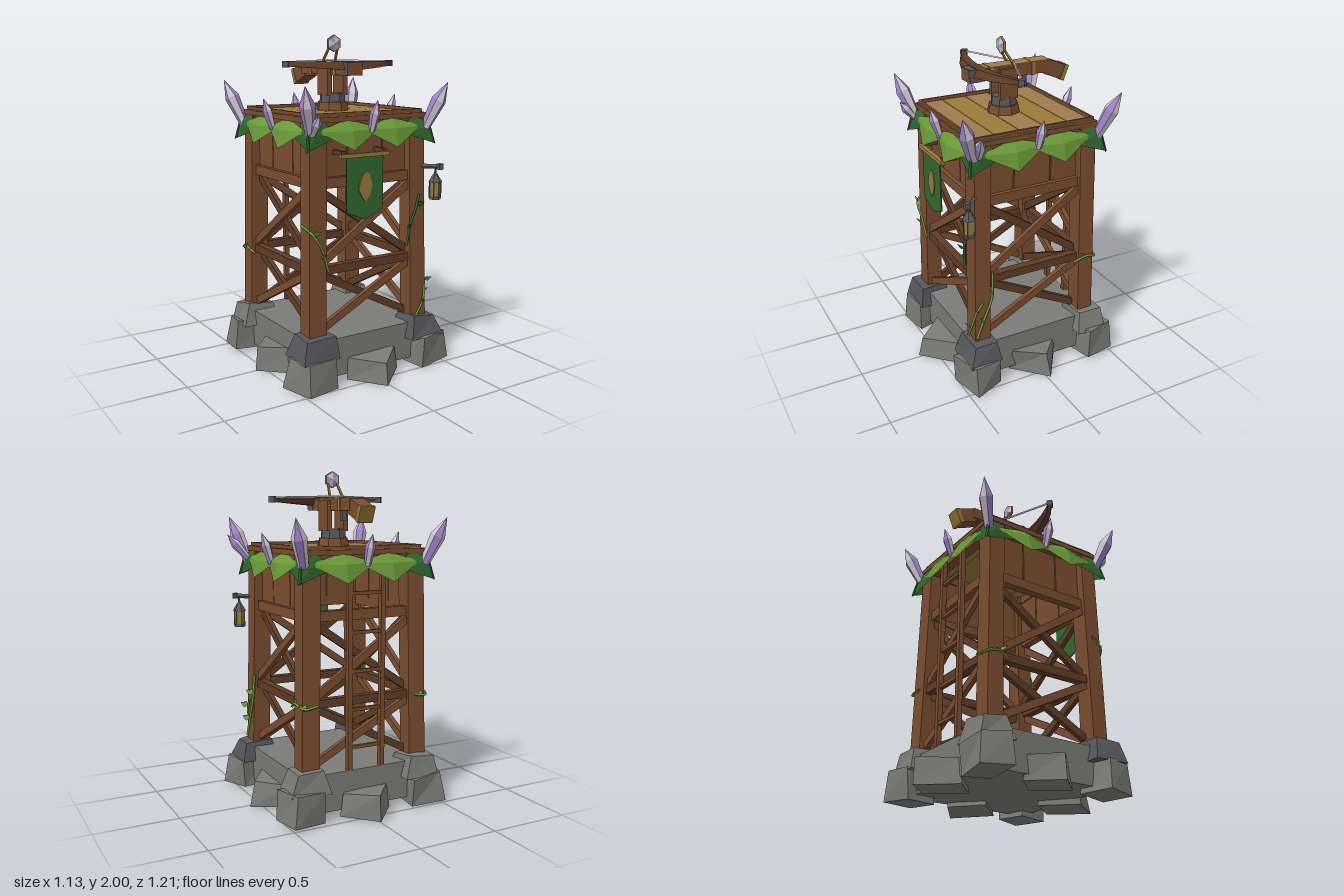
import * as THREE from 'three';

const mat = (name, color, side = THREE.FrontSide) => {
  const m = new THREE.MeshStandardMaterial({ color, side });
  m.name = name;
  return m;
};
const stone = mat('stone', 0x7a7a76), iron = mat('iron', 0x57585c);
const wood = mat('wood', 0x7a4d30), darkWood = mat('darkWood', 0x5f3c26);
const plank = mat('plank', 0xa07a4e), gold = mat('gold', 0x9a7a38);
const leaf = mat('leaf', 0x6a9a38, THREE.DoubleSide), darkLeaf = mat('darkLeaf', 0x30682f, THREE.DoubleSide);
const purple = mat('purpleCrystal', 0xa384cf), pale = mat('paleCrystal', 0xd0cad2);

const V = (x, y, z) => new THREE.Vector3(x, y, z);
const UP = V(0, 1, 0);
let seed = 7;
const rnd = () => (seed = (seed * 16807) % 2147483647) / 2147483647 - 0.5;

// Faceted normals
function flat(geo) {
  const g = geo.index ? geo.toNonIndexed() : geo;
  g.clearGroups();
  g.computeVertexNormals();
  return g;
}
function add(parent, name, geo, material, x = 0, y = 0, z = 0) {
  const m = new THREE.Mesh(geo, material);
  m.name = name;
  m.position.set(x, y, z);
  parent.add(m);
  return m;
}
const box = (p, name, m, w, h, d, x, y, z) => add(p, name, new THREE.BoxGeometry(w, h, d), m, x, y, z);
// Square bar between two points
function bar(p, name, m, a, b, w, d = w) {
  const dir = b.clone().sub(a);
  const mesh = add(p, name, new THREE.BoxGeometry(w, dir.length(), d), m);
  mesh.position.copy(a).add(b).multiplyScalar(0.5);
  mesh.quaternion.setFromUnitVectors(UP, dir.normalize());
  return mesh;
}
const prism = (p, name, m, rt, rb, h, n, x, y, z) =>
  add(p, name, flat(new THREE.CylinderGeometry(rt, rb, h, n)), m, x, y, z);
function group(parent, name) {
  const g = new THREE.Group();
  g.name = name;
  parent.add(g);
  return g;
}
// Chipped stone block, narrower on top, tilted and resting on y
function rock(p, name, m, w, h, d, x, y, z, ry, taper, tilt) {
  const geo = new THREE.BoxGeometry(w, h, d), pos = geo.attributes.position, jit = {};
  for (let i = 0; i < pos.count; i++) {
    const key = [pos.getX(i) > 0, pos.getY(i) > 0, pos.getZ(i) > 0].join();
    const j = jit[key] ??= [rnd() * 0.03, rnd() * 0.03, rnd() * 0.03];
    const top = pos.getY(i) > 0, k = top ? taper : 1;
    pos.setXYZ(i, pos.getX(i) * k + j[0], pos.getY(i) + (top ? j[1] : 0), pos.getZ(i) * k + j[2]);
  }
  geo.rotateY(ry).rotateX(rnd() * tilt).rotateZ(rnd() * tilt);
  geo.computeBoundingBox();
  add(p, name, flat(geo), m, x, y - geo.boundingBox.min.y, z);
}
// Six-sided shard with alternating pale and purple facets
function crystal(p, a, b, r) {
  const dir = b.clone().sub(a), L = dir.length();
  const pts = [[0, 0], [r * 0.65, 0], [r, L * 0.6], [0, L]].map(q => new THREE.Vector2(...q));
  const geo = flat(new THREE.LatheGeometry(pts, 6));
  for (let i = 0; i < 6; i++) geo.addGroup(i * 18, 18, i % 2);
  const m = add(p, 'crystal', geo, [purple, pale]);
  m.position.copy(a);
  m.quaternion.setFromUnitVectors(UP, dir.normalize());
}
// Folded four-point leaf: top, left, tip, right around a raised rib
function leafBlade(p, m, top, left, tip, right, mid) {
  const f = [mid, top, left, mid, left, tip, mid, tip, right, mid, right, top];
  add(p, 'leaf', flat(new THREE.BufferGeometry().setFromPoints(f)), m);
}
function vine(p, m, pts) {
  const c = new THREE.CatmullRomCurve3(pts.map(q => V(...q)));
  add(p, 'vine', flat(new THREE.TubeGeometry(c, 16, 0.009, 4)), m);
  for (const t of [0.3, 0.75]) {
    const q = c.getPoint(t), s = rnd() > 0 ? 1 : -1, o = (x, y, z) => q.clone().add(V(x * s, y, z));
    leafBlade(p, m, o(0, 0, 0), o(0, 0.025, 0.02), o(0.04, 0.02, 0.03), o(0.025, -0.01, 0.01), o(0.02, 0.015, 0.025));
  }
}

function buildBase(root) {
  const base = group(root, 'stoneBase');
  box(base, 'slab', stone, 0.82, 0.23, 0.82, 0, 0.155, 0);
  for (let k = 0; k < 4; k++) {
    const a = k * Math.PI / 2, s = Math.sin(a), c = Math.cos(a), side = k % 2 ? 0.385 : 0.42;
    rock(base, 'sideRock', stone, 0.25, 0.14, 0.25, s * side, 0, c * side, Math.PI / 4 + rnd() * 0.2, 0.92, 0.16);
    const sx = k < 2 ? 1 : -1, sz = k % 2 ? 1 : -1;
    rock(base, 'cornerRock', stone, 0.22, 0.175, 0.2, sx * 0.41, 0, sz * 0.4, 0.15 + rnd() * 0.4, 0.9, 0.16);
    rock(base, 'postFoot', sz > 0 ? iron : stone, 0.23, 0.13, 0.21, sx * 0.37, 0.175, sz * 0.37, rnd() * 0.25, 0.74, 0.03);
  }
}

function buildFrame(t) {
  for (const x of [-1, 1]) for (const z of [-1, 1])
    bar(t, 'post', wood, V(x * 0.36, 0.27, z * 0.36), V(x * 0.34, 1.52, z * 0.34), 0.112, 0.1);
  for (let k = 0; k < 4; k++) {
    const f = group(t, 'sideFrame');
    f.rotation.y = k * Math.PI / 2;
    box(f, 'middleBeam', darkWood, 0.64, 0.05, 0.05, 0, 0.68, 0.36);
    box(f, 'upperBeam', wood, 0.64, 0.06, 0.05, 0, 1.18, 0.35);
    box(f, 'deckBeam', wood, 0.72, 0.06, 0.06, 0, 1.5, 0.345);
    for (const [y0, y1] of [[0.33, 0.65], [0.72, 1.14]]) {
      bar(f, 'brace', wood, V(-0.31, y0, 0.365), V(0.31, y1, 0.365), 0.045, 0.03);
      bar(f, 'brace', darkWood, V(0.31, y0, 0.335), V(-0.31, y1, 0.335), 0.045, 0.03);
    }
    // Wall boards on all sides except the ladder side
    if (k !== 2) for (let i = -1; i < 2; i++)
      box(f, 'wallBoard', wood, 0.233, 0.3, 0.025, i * 0.24, 1.35 + rnd() * 0.02, 0.335).rotation.z = rnd() * 0.015;
  }
  // Ladder
  const ladder = group(t, 'ladder');
  for (const x of [-0.108, 0.108]) box(ladder, 'rail', wood, 0.03, 1.2, 0.03, x, 0.87, -0.4);
  for (let i = 0; i < 5; i++) box(ladder, 'rung', wood, 0.2, 0.02, 0.02, 0, 0.405 + i * 0.225, -0.4);
}

function buildDeck(t) {
  const deck = group(t, 'deck');
  for (let i = 0; i < 5; i++)
    box(deck, 'floorPlank', i % 2 ? gold : plank, 0.795 + rnd() * 0.01, 0.03, 0.152, 0, 1.537, -0.312 + i * 0.156);
  for (const s of [-1, 1]) {
    box(deck, 'rim', wood, 0.765, 0.035, 0.014, 0, 1.554, s * 0.377);
    box(deck, 'rim', wood, 0.014, 0.035, 0.74, s * 0.376, 1.554, 0);
    box(deck, 'edgeBoard', wood, 0.8, 0.03, 0.01, 0, 1.535, s * 0.392);
    box(deck, 'edgeBoard', wood, 0.01, 0.03, 0.78, s * 0.397, 1.535, 0);
  }
  // Leaf skirt
  const skirt = group(t, 'leafSkirt');
  for (let k = 0; k < 4; k++) {
    const f = group(skirt, 'leafSide');
    f.rotation.y = k * Math.PI / 2;
    for (const s of [-1, 1]) {
      const x = s * 0.15;
      leafBlade(f, leaf, V(x, 1.535, 0.39), V(x - 0.21, 1.475, 0.405), V(x, 1.365, 0.465), V(x + 0.21, 1.475, 0.405), V(x, 1.47, 0.445));
      leafBlade(f, darkLeaf, V(s * 0.3, 1.53, 0.385), V(s * 0.22, 1.44, 0.4), V(s * 0.45, 1.365, 0.435),
        V(s * 0.42, 1.5, 0.41), V(s * 0.36, 1.46, 0.42));
    }
    crystal(f, V(0, 1.46, 0.41), V(0, 1.64, 0.47), 0.03);
  }
  for (const x of [-1, 1]) for (const z of [-1, 1])
    crystal(skirt, V(x * 0.395, 1.46, z * 0.4), V(x * 0.485, 1.73, z * 0.495), 0.045);
  crystal(skirt, V(0.41, 1.47, 0.37), V(0.53, 1.62, 0.41), 0.03);
  crystal(skirt, V(-0.39, 1.46, 0.41), V(-0.4, 1.57, 0.5), 0.03);
}

function buildBallista(t) {
  const b = group(t, 'ballista');
  prism(b, 'turntable', wood, 0.09, 0.1, 0.05, 8, 0, 1.58, 0);
  prism(b, 'ironCollar', iron, 0.075, 0.08, 0.055, 8, 0, 1.63, 0);
  for (const s of [-1, 1]) box(b, 'cheek', wood, 0.03, 0.18, 0.115, s * 0.055, 1.735, 0);
  box(b, 'stock', wood, 0.1, 0.07, 0.535, 0, 1.802, -0.0225);
  box(b, 'stockTop', plank, 0.096, 0.006, 0.47, 0, 1.838, -0.05);
  bar(b, 'stockTail', wood, V(0, 1.795, -0.27), V(0, 1.748, -0.385), 0.09, 0.09);
  bar(b, 'tailCap', gold, V(0, 1.752, -0.375), V(0, 1.742, -0.4), 0.096, 0.098);
  box(b, 'noseCap', iron, 0.106, 0.076, 0.068, 0, 1.804, 0.209);
  box(b, 'trigger', iron, 0.03, 0.07, 0.03, 0, 1.74, -0.13);
  for (const z of [-0.17, 0.1]) box(b, 'band', gold, 0.11, 0.08, 0.025, 0, 1.803, z);
  // Bow limbs, tapered toward the tips
  const s = new THREE.Shape();
  s.moveTo(-0.365, 0.095).quadraticCurveTo(0, 0.355, 0.365, 0.095);
  s.lineTo(0.365, 0.07).quadraticCurveTo(0, 0.275, -0.365, 0.07);
  const bow = new THREE.ExtrudeGeometry(s, { depth: 0.036, bevelEnabled: false, curveSegments: 10 });
  bow.rotateX(Math.PI / 2);
  const p = bow.attributes.position;
  for (let i = 0; i < p.count; i++) { // thicker at the middle, upper edge drawn back
    const x = Math.abs(p.getX(i));
    if (p.getY(i) < -0.01) p.setY(i, -0.052 + 0.07 * x);
    else p.setZ(i, p.getZ(i) - 0.025 * (1 - (x / 0.365) ** 2));
  }
  add(b, 'bow', flat(bow), darkWood, 0, 1.846, 0);
  for (const x of [-0.365, 0.365]) {
    box(b, 'bowTip', iron, 0.035, 0.038, 0.035, x, 1.832, 0.08).rotation.y = Math.PI / 4;
    bar(b, 'string', pale, V(x, 1.843, 0.08), V(0, 1.85, -0.06), 0.009);
    bar(b, 'sightLeg', gold, V(Math.sign(x) * 0.045, 1.835, -0.045), V(Math.sign(x) * 0.03, 1.925, 0.01), 0.012);
  }
  // Gem sight
  prism(b, 'gemRim', gold, 0.05, 0.05, 0.014, 6, 0, 1.95, 0.015).rotation.x = Math.PI / 2;
  for (const z of [-1, 1]) {
    const gem = flat(new THREE.ConeGeometry(0.043, 0.012, 6, 1, true)), n = gem.attributes.position.count / 6;
    for (let i = 0; i < 6; i++) gem.addGroup(i * n, n, i % 2);
    add(b, 'gem', gem, [pale, purple], 0, 1.95, 0.015 + z * 0.013).rotation.x = z * Math.PI / 2;
  }
}

function buildDetails(t) {
  // Banner
  const banner = group(t, 'banner');
  banner.position.set(-0.068, 1.33, 0.435);
  bar(banner, 'pole', gold, V(-0.165, 0.005, 0.008), V(0.165, 0.005, 0.008), 0.024, 0.026);
  for (const x of [-0.14, 0.14]) bar(banner, 'bracket', darkWood, V(x, 0.02, -0.1), V(x, 0.02, 0.005), 0.025);
  const plate = (name, m, pts, d, z) =>
    add(banner, name, new THREE.ExtrudeGeometry(new THREE.Shape(pts.map(q => new THREE.Vector2(...q))), { depth: d, bevelEnabled: false }), m, 0, 0, z);
  plate('cloth', darkLeaf, [[-0.125, 0], [-0.125, -0.315], [0, -0.365], [0.125, -0.315], [0.125, 0]], 0.008, 0.005);
  plate('emblem', gold, [[0, -0.09], [-0.03, -0.13], [-0.047, -0.19], [-0.025, -0.23], [0, -0.265], [0.03, -0.23], [0.047, -0.17], [0.03, -0.105]], 0.006, 0.013);
  // Lantern on the front corner post
  const l = group(t, 'lantern');
  l.position.set(0.443, 0, 0.45);
  bar(l, 'arm', iron, V(-0.07, 1.228, -0.08), V(0.02, 1.228, 0.02), 0.02);
  box(l, 'armEnd', iron, 0.03, 0.035, 0.03, 0.018, 1.228, 0.018);
  bar(l, 'hook', iron, V(0, 1.18, 0), V(0, 1.225, 0), 0.01);
  prism(l, 'roof', iron, 0.012, 0.042, 0.05, 6, 0, 1.16, 0);
  prism(l, 'glass', gold, 0.032, 0.03, 0.1, 6, 0, 1.088, 0);
  prism(l, 'foot', iron, 0.035, 0.035, 0.016, 6, 0, 1.038, 0);
  for (const x of [-0.026, 0.026]) for (const z of [-0.02, 0.02])
    box(l, 'lanternBar', iron, 0.007, 0.1, 0.007, x, 1.088, z);
  // Climbing vines
  const v = group(t, 'vines');
  vine(v, leaf, [[-0.42, 0.95, 0.33], [-0.39, 0.9, 0.42], [-0.33, 0.8, 0.42], [-0.29, 0.68, 0.41]]);
  vine(v, leaf, [[0.34, 0.31, 0.42], [0.39, 0.4, 0.42], [0.415, 0.5, 0.4], [0.42, 0.56, 0.36]]);
  vine(v, leaf, [[0.42, 0.32, 0.4], [0.42, 0.45, 0.35], [0.42, 0.58, 0.3], [0.41, 0.74, 0.29]]);
  vine(v, darkLeaf, [[0.27, 0.75, 0.4], [0.29, 0.88, 0.41], [0.33, 0.98, 0.41], [0.36, 1.06, 0.4]]);
  for (const x of [-1, 1])
    vine(v, leaf, [[x * 0.41, 0.66, -0.27], [x * 0.425, 0.69, -0.35], [x * 0.405, 0.67, -0.42], [x * 0.32, 0.68, -0.42]]);
}

export function createModel() {
  const root = new THREE.Group();
  root.name = 'watchtower';
  buildBase(root);
  const tower = group(root, 'tower');
  tower.position.x = -0.008;
  buildFrame(tower);
  buildDeck(tower);
  buildBallista(tower);
  buildDetails(tower);
  return root;
}
